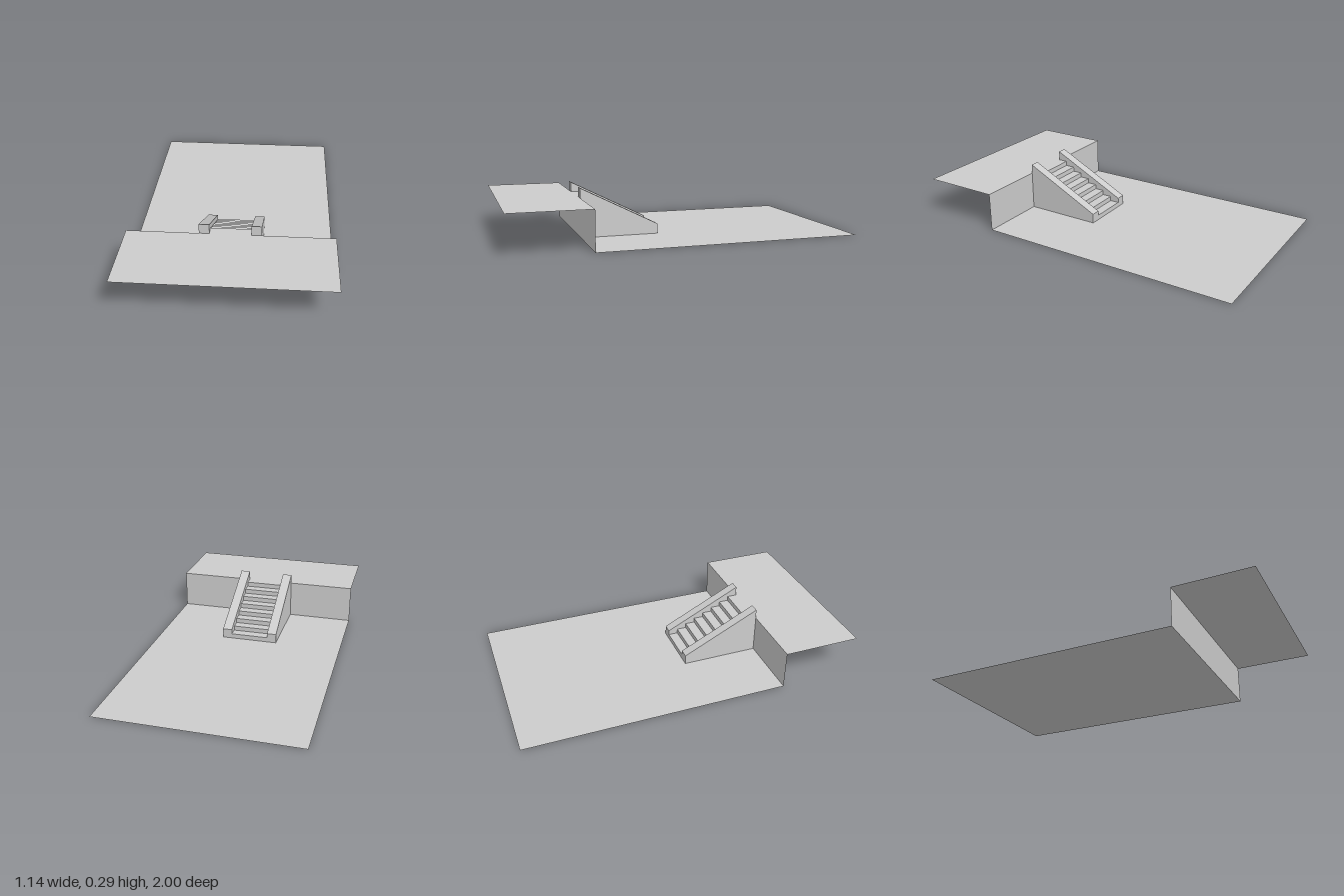
import * as THREE from 'three';

const U = 2 / 35;            // one tread depth
const WALL_Z = 9.5 * U;      // terrace wall
const FOOT_Z = 1.5 * U;      // foot of the stairs
const TOP = 4 * U;           // terrace height
const HALF_W = 10 * U;
const STEPS = 8;

export function createModel() {
  const model = new THREE.Group();
  model.name = 'terraceWithStairs';

  const stone = new THREE.MeshStandardMaterial({ color: 0xcccccc, side: THREE.DoubleSide });
  stone.name = 'light grey stone';

  const add = (name, geometry) => {
    const mesh = new THREE.Mesh(geometry, stone);
    mesh.name = name;
    model.add(mesh);
    return mesh;
  };

  // Flat sheet at height y between two z positions
  const sheet = (name, y, z0, z1) =>
    add(name, new THREE.PlaneGeometry(2 * HALF_W, z1 - z0)
      .rotateX(-Math.PI / 2).translate(0, y, (z0 + z1) / 2));

  // Side profile of [z, y] points, extruded across x and centred on x
  const profile = (name, points, width, x) => {
    const shape = new THREE.Shape(points.map(([z, y]) => new THREE.Vector2(z, y)));
    const geometry = new THREE.ExtrudeGeometry(shape, { depth: width, bevelEnabled: false });
    geometry.rotateY(-Math.PI / 2).translate(x + width / 2, 0, 0);
    return add(name, geometry);
  };

  // Lower ground, retaining wall and upper terrace
  sheet('lowerGround', 0, -1, WALL_Z);
  sheet('upperTerrace', TOP, WALL_Z, 1);
  add('retainingWall', new THREE.PlaneGeometry(2 * HALF_W, TOP)
    .rotateY(Math.PI).translate(0, TOP / 2, WALL_Z));

  // Steps climbing toward the wall, the last one level with the terrace
  const stairs = [[WALL_Z, 0], [FOOT_Z, 0]];
  for (let i = 0; i < STEPS; i++) {
    const y = (i + 1) * TOP / STEPS;
    stairs.push([FOOT_Z + i * U, y], [FOOT_Z + (i + 1) * U, y]);
  }
  profile('steps', stairs, 4 * U, 0);

  // Sloping side walls
  const rail = [[FOOT_Z, 0], [WALL_Z, 0], [WALL_Z, 5 * U], [FOOT_Z, U]];
  profile('leftSideWall', rail, U, 2.5 * U);
  profile('rightSideWall', rail, U, -2.5 * U);

  return model;
}
